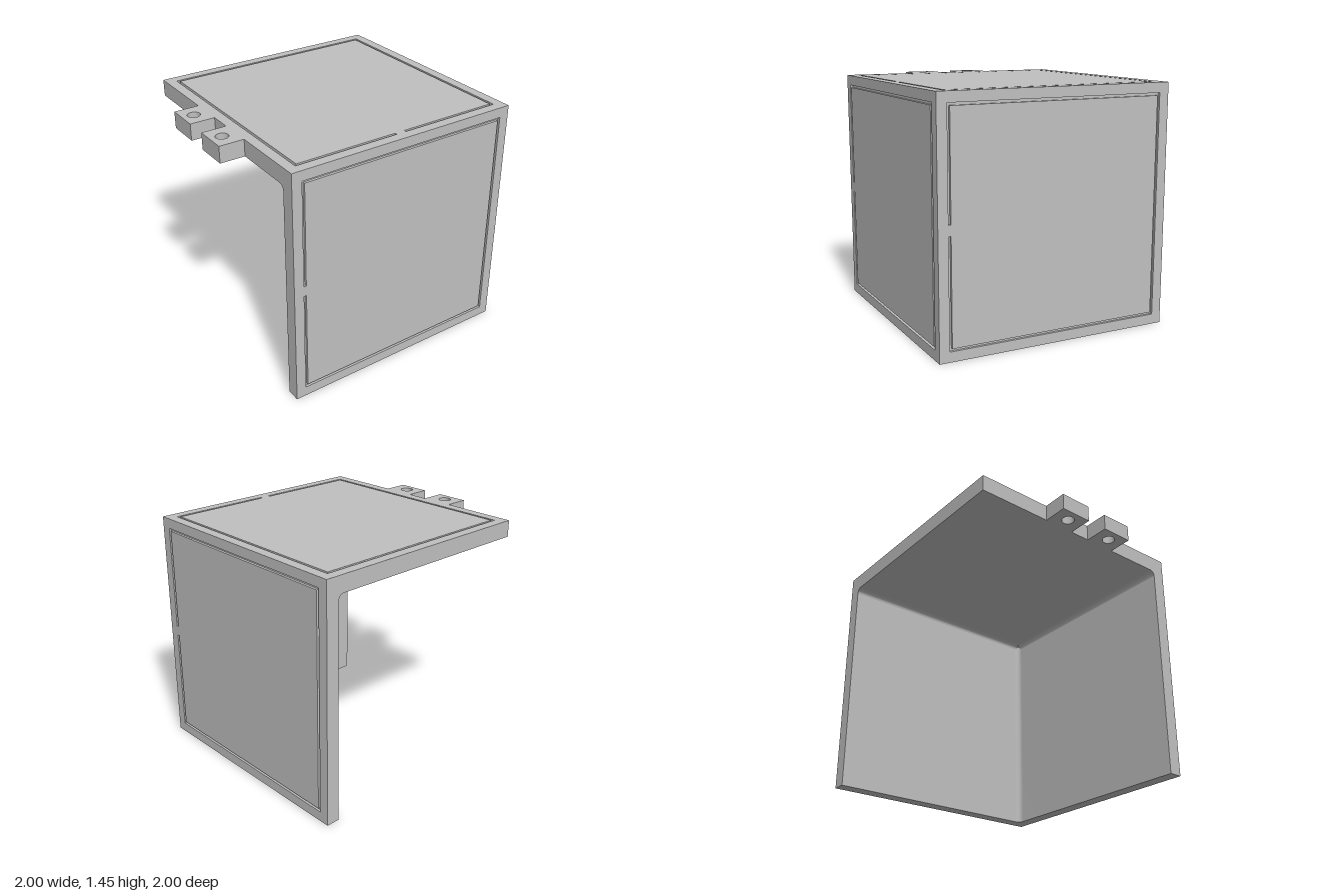
import * as THREE from 'three';
import { toCreasedNormals } from 'three/addons/utils/BufferGeometryUtils.js';

const S = Math.hypot(1.23, 0.77); // edge length of the cube corner
const H = S / 2;
const TOP = 0.1;      // top plate thickness
const WALL = 0.081;   // wall thickness
const SKIN = 0.015;   // groove depth
const R = 0.035;      // inner fillet radius

const polygon = (points) => points.map(([x, y]) => new THREE.Vector2(x, y));

// Thin C-shaped groove following a square, open in the middle of one side
function groove(cy, side) {
  const o = H - 0.06, i = H - 0.075, g = 0.031;
  return new THREE.Path(polygon([
    [-o, g], [-o, o], [o, o], [o, -o], [-o, -o], [-o, -g],
    [-i, -g], [-i, -i], [i, -i], [i, i], [-i, i], [-i, g],
  ].map(([x, y]) => [x * side, y + cy])));
}

// Top outline with two drilled tabs; e is the extent towards the walls
function plateShape(e) {
  const pts = [[-H, e], [-H, -H]];
  const tabs = [[0.463, 0.66], [0.791, 0.988]].map((t) => t.map((u) => u - H));
  for (const [a, b] of tabs) pts.push([a, -H], [a, -H - 0.148], [b, -H - 0.148], [b, -H]);
  pts.push([e, -H], [e, e]);
  const shape = new THREE.Shape(polygon(pts));
  for (const [a, b] of tabs) {
    shape.holes.push(new THREE.Path().absarc((a + b) / 2, -H - 0.077, 0.037, 0, Math.PI * 2, true));
  }
  return shape;
}

// Grooved outer face of a wall
function wallSkinShape(left) {
  const top = S - SKIN;
  const shape = new THREE.Shape(polygon([[left, 0], [H, 0], [H, top], [left, top]]));
  shape.holes.push(groove(H, -1 * -1));
  return shape;
}

export function createModel() {
  const grey = new THREE.MeshStandardMaterial({ color: 0xc0c0c0 });
  grey.name = 'light grey';
  const body = new THREE.Group();
  body.name = 'cornerBracket';

  function slab(name, shape, depth, rotX, rotY, x, y, z) {
    const geo = new THREE.ExtrudeGeometry(shape, { depth, bevelEnabled: false, curveSegments: 16 });
    geo.rotateX(rotX).rotateY(rotY).translate(x, y, z);
    const mesh = new THREE.Mesh(toCreasedNormals(geo, 0.5), grey);
    mesh.name = name;
    body.add(mesh);
  }
  const flat = -Math.PI / 2, quarter = Math.PI / 2;

  // Top plate: solid core and grooved surface
  slab('topPlate', plateShape(H - SKIN), TOP - SKIN, flat, 0, 0, S - TOP, 0);
  const topSkin = plateShape(H);
  topSkin.holes.push(groove(0, -1));
  slab('topPanel', topSkin, SKIN, flat, 0, 0, S - SKIN, 0);

  // Two walls joined by a rounded inner corner
  const out = H - SKIN, inn = H - WALL;
  const plan = new THREE.Shape();
  plan.moveTo(inn, -H);
  plan.lineTo(out, -H);
  plan.lineTo(out, out);
  plan.lineTo(-H, out);
  plan.lineTo(-H, inn);
  plan.absarc(inn - R, inn - R, R, Math.PI / 2, 0, true);
  plan.closePath();
  slab('walls', plan, S - TOP, flat, 0, 0, 0, 0);

  // Grooved outer faces of the walls
  slab('sideWallPanel', wallSkinShape(-H), SKIN, 0, quarter, out, 0, 0);
  slab('backWallPanel', wallSkinShape(-out), SKIN, 0, Math.PI, 0, 0, -out);

  // Fillets under the top plate
  const fillet = new THREE.Shape();
  fillet.moveTo(0, 0);
  fillet.lineTo(-R, 0);
  fillet.absarc(-R, -R, R, Math.PI / 2, 0, true);
  fillet.closePath();
  slab('sideFillet', fillet, S - WALL, 0, 0, inn, S - TOP, -inn);
  slab('backFillet', fillet, S - WALL, 0, quarter, -H, S - TOP, -inn);

  // Turn the corner on its base
  body.rotation.y = -Math.atan2(0.77, 1.23);
  const model = new THREE.Group();
  model.name = 'model';
  model.add(body);
  return model;
}
